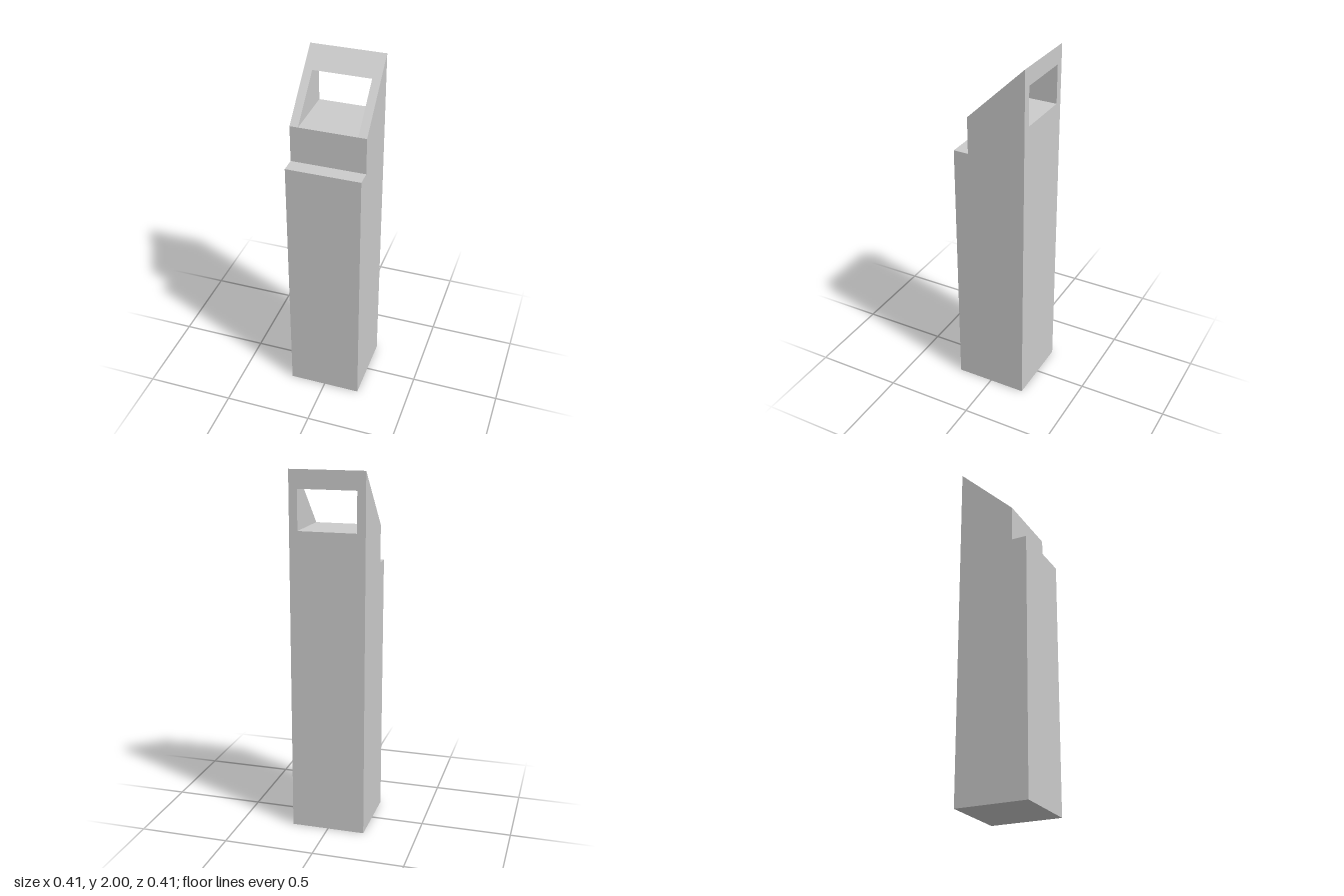
import * as THREE from 'three';

const HALF = 0.206;      // half width and half depth of the column
const SHOULDER = 1.477;  // height of the front ledge
const SILL = 1.683;      // floor of the window
const TOP = 2;
const NECK_Z = 0.121;    // front of the stepped-back upper part

const polygon = (points) => new THREE.Shape(points.map(([x, y]) => new THREE.Vector2(x, y)));

export function createModel() {
  const group = new THREE.Group();
  const material = new THREE.MeshStandardMaterial({ color: 0xcccccc, flatShading: true });
  const add = (name, geometry) => {
    const mesh = new THREE.Mesh(geometry, material);
    mesh.name = name;
    group.add(mesh);
  };

  // Column: stepped side profile (z, y) extruded across the width
  const column = new THREE.ExtrudeGeometry(
    polygon([[-HALF, 0], [HALF, 0], [HALF, SHOULDER], [NECK_Z, SHOULDER], [NECK_Z, SILL], [-HALF, SILL]]),
    { depth: 2 * HALF, bevelEnabled: false }
  );
  column.translate(0, 0, -HALF).rotateY(-Math.PI / 2);
  add('column', column);

  // Window frame: two cheeks and a lintel, open at the sill
  const inner = 0.16;
  const lintel = 1.9;
  const frame = new THREE.ExtrudeGeometry(
    polygon([
      [-HALF, SILL], [-inner, SILL], [-inner, lintel], [inner, lintel],
      [inner, SILL], [HALF, SILL], [HALF, TOP], [-HALF, TOP],
    ]),
    { depth: 1, bevelEnabled: false }
  );
  // Lean the front face back so it meets the rear wall at the top
  const pos = frame.attributes.position;
  for (let i = 0; i < pos.count; i++) {
    const t = (pos.getY(i) - SILL) / (TOP - SILL);
    const frontZ = THREE.MathUtils.lerp(NECK_Z, -HALF, t);
    pos.setZ(i, pos.getZ(i) > 0.5 ? frontZ : -HALF);
  }
  frame.computeVertexNormals();
  add('slopedWindowFrame', frame);

  return group;
}
